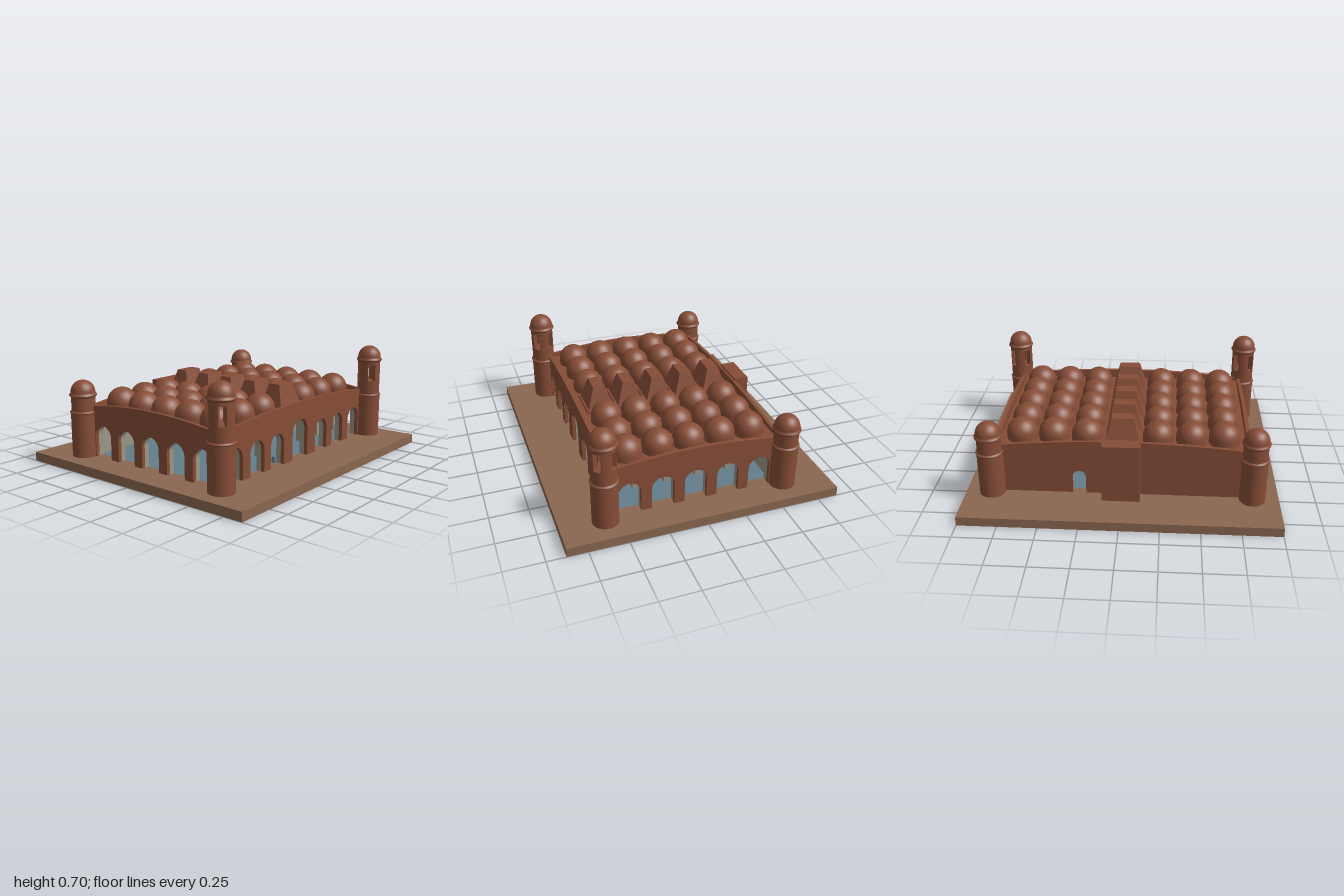
import * as THREE from 'three';

const mat = (name, color, side = THREE.FrontSide) => {
  const m = new THREE.MeshStandardMaterial({ color, side });
  m.name = name;
  return m;
};

export function createModel() {
  const root = new THREE.Group();
  root.name = 'domedHall';
  const brick = mat('brick', 0x864d37);
  const stone = mat('pavingBrown', 0x8a6750);
  const plaster = mat('plaster', 0x9a9587, THREE.DoubleSide);
  const blue = mat('carpetBlue', 0x647d8b);
  const FLOOR = 0.06, ROOF = 0.375;

  const add = (name, geo, material, x = 0, y = 0, z = 0, parent = root) => {
    const m = new THREE.Mesh(geo, material);
    m.name = name;
    m.position.set(x, y, z);
    parent.add(m);
    return m;
  };
  // box given by its limits
  const box = (name, material, x0, x1, y0, y1, z0, z1) =>
    add(name, new THREE.BoxGeometry(x1 - x0, y1 - y0, z1 - z0), material,
      (x0 + x1) / 2, (y0 + y1) / 2, (z0 + z1) / 2);

  // wall standing on the floor with arched openings [centre, width, top], bowed along its top
  const archWall = (half, edgeTop, midTop, arches, depth) => {
    const s = new THREE.Shape();
    s.moveTo(-half, FLOOR);
    for (const [c, w, top] of [...arches].sort((a, b) => a[0] - b[0])) {
      const r = w / 2;
      s.lineTo(c - r, FLOOR);
      s.lineTo(c - r, top - r);
      s.absarc(c, top - r, r, Math.PI, 0, true);
      s.lineTo(c + r, FLOOR);
    }
    s.lineTo(half, FLOOR);
    s.lineTo(half, edgeTop);
    for (let i = 1; i <= 24; i++) {
      const t = 1 - i / 12;
      s.lineTo(half * t, midTop - (midTop - edgeTop) * t * t);
    }
    return new THREE.ExtrudeGeometry(s, { depth, bevelEnabled: false, curveSegments: 16 });
  };

  // paved base around the carpeted floor
  const plaza = new THREE.Shape([[-1, -0.88], [1, -0.88], [1, 0.88], [-1, 0.88]].map(p => new THREE.Vector2(...p)));
  plaza.holes.push(new THREE.Path([[-0.75, -0.51], [-0.75, 0.51], [0.75, 0.51], [0.75, -0.51]].map(p => new THREE.Vector2(...p))));
  add('base', new THREE.ExtrudeGeometry(plaza, { depth: FLOOR, bevelEnabled: false }).rotateX(-Math.PI / 2), stone);
  box('floor', blue, -0.75, 0.75, 0, FLOOR, -0.51, 0.51);

  // front and back walls: brick skin outside, plaster inside
  const frontArches = [[0, 0.17, 0.32]];
  for (const s of [-1, 1]) for (const x of [0.25, 0.458, 0.67]) frontArches.push([s * x, 0.14, 0.275]);
  const door = [0.27, 0.085, 0.22], niche = [0, 0.14, 0.25];
  add('frontWall', archWall(0.81, 0.39, 0.435, frontArches, 0.025), brick, 0, 0, 0.545);
  add('frontWallLining', archWall(0.78, 0.36, 0.36, frontArches, 0.035), plaster, 0, 0, 0.51);
  add('backWall', archWall(0.81, 0.39, 0.435, [door, niche], 0.022), brick, 0, 0, -0.557);
  add('backWallLining', archWall(0.78, 0.36, 0.36, [door, niche], 0.025), plaster, 0, 0, -0.535);

  // side walls
  const sideArches = [-2, -1, 0, 1, 2].map(i => [-0.005 + i * 0.2125, 0.145, 0.275]);
  for (const s of [-1, 1]) {
    const skin = add('sideWall', archWall(0.555, 0.39, 0.435, sideArches, 0.025), brick, s > 0 ? 0.785 : -0.81, 0, 0.0075);
    const lining = add('sideWallLining', archWall(0.53, 0.36, 0.36, sideArches, 0.035), plaster, s > 0 ? 0.75 : -0.785, 0, 0.0075);
    skin.rotation.y = lining.rotation.y = Math.PI / 2;
  }

  // prayer niche and the block that holds it behind the back wall
  add('nicheBlock', archWall(0.12, 0.45, 0.45, [niche], 0.05), brick, 0, 0, -0.6);
  box('nicheBlockBack', brick, -0.12, 0.12, FLOOR, 0.45, -0.645, -0.595);
  const nicheProfile = [new THREE.Vector2(0.069, FLOOR)];
  for (let i = 0; i <= 10; i++) {
    const a = i / 10 * Math.PI / 2;
    nicheProfile.push(new THREE.Vector2(0.069 * Math.cos(a), 0.18 + 0.069 * Math.sin(a)));
  }
  add('niche', new THREE.LatheGeometry(nicheProfile, 20, Math.PI / 2, Math.PI), plaster, 0, 0, -0.512);

  // stepped pulpit beside the niche, and a low rack by the entrance
  for (let i = 0; i < 5; i++)
    box('pulpitStep', brick, 0.005, 0.078, FLOOR, 0.082 + i * 0.023, -0.45 - i * 0.016, -0.432 - i * 0.016);
  box('rack', blue, -0.2, -0.11, FLOOR, 0.1, 0.49, 0.512);

  // interior columns under the ceiling
  for (const x of [-0.565, -0.355, -0.13, 0.13, 0.355, 0.565])
    for (const z of [-0.305, -0.092, 0.12, 0.332])
      box('column', plaster, x - 0.02, x + 0.02, FLOOR, 0.355, z - 0.02, z + 0.02);
  box('ceiling', plaster, -0.78, 0.78, 0.352, 0.36, -0.53, 0.54);
  box('roof', brick, -0.787, 0.787, 0.36, ROOF, -0.54, 0.548);

  // rows of roof domes with a skylight row along the middle
  const domeProfile = [new THREE.Vector2(0.1, ROOF - 0.005)];
  for (let i = 0; i <= 12; i++) {
    const a = i / 12 * Math.PI / 2;
    domeProfile.push(new THREE.Vector2(0.1 * Math.cos(a), 0.41 + 0.1 * Math.sin(a)));
  }
  const domeGeo = new THREE.LatheGeometry(domeProfile, 28);
  const skylightGeo = new THREE.BoxGeometry(0.23, 0.165, 0.18);
  const p = skylightGeo.attributes.position;
  for (let i = 0; i < p.count; i++)
    if (p.getY(i) > 0) p.setXYZ(i, p.getX(i) * 0.61, p.getY(i), p.getZ(i) * 0.44);
  skylightGeo.computeVertexNormals();
  for (let j = -2; j <= 2; j++) {
    const z = 0.005 + j * 0.202;
    for (const s of [-1, 1]) for (const x of [0.228, 0.44, 0.647]) add('roofDome', domeGeo, brick, s * x, 0, z);
    add('skylight', skylightGeo, brick, 0, 0.4575, z);
    box('skylightRim', brick, -0.12, 0.12, ROOF - 0.01, 0.395, z - 0.096, z + 0.096);
  }

  // corner towers
  const lathe = pts => new THREE.LatheGeometry(pts.map(q => new THREE.Vector2(...q)), 32);
  const cap = y => {
    const pts = [[0, y - 0.01], [0.08, y - 0.01], [0.089, y], [0.089, y + 0.006], [0.08, y + 0.014]];
    for (let i = 0; i <= 10; i++) {
      const a = i / 10 * Math.PI / 2;
      pts.push([0.08 * Math.cos(a), y + 0.02 + 0.08 * Math.sin(a)]);
    }
    return lathe(pts);
  };
  const drum = (r, y0, y1) => new THREE.CylinderGeometry(r, r, y1 - y0, 32).translate(0, (y0 + y1) / 2, 0);
  const band = y => lathe([[0.078, y - 0.012], [0.088, y - 0.002], [0.088, y + 0.003], [0.078, y + 0.01]]);
  // curved pier between the openings of the tower lantern
  const pier = new THREE.Shape();
  pier.absarc(0, 0, 0.078, -0.47, 0.47, false);
  pier.absarc(0, 0, 0.045, 0.47, -0.47, true);
  const pierGeo = new THREE.ExtrudeGeometry(pier, { depth: 0.15, bevelEnabled: false, curveSegments: 10 }).rotateX(-Math.PI / 2);

  for (const s of [-1, 1]) {
    const front = new THREE.Group(), back = new THREE.Group();
    front.name = 'frontTower';
    back.name = 'backTower';
    front.position.set(s * 0.83, 0, 0.598);
    back.position.set(s * 0.83, 0, -0.572);
    root.add(front, back);
    add('towerShaft', drum(0.083, FLOOR, 0.355), brick, 0, 0, 0, front);
    add('towerBand', band(0.355), brick, 0, 0, 0, front);
    add('towerNeck', drum(0.078, 0.355, 0.457), brick, 0, 0, 0, front);
    for (let i = 0; i < 4; i++) add('lanternPier', pierGeo, brick, 0, 0.455, 0, front).rotation.y = i * Math.PI / 2;
    add('lanternHead', drum(0.078, 0.575, 0.6), brick, 0, 0, 0, front);
    add('towerDome', cap(0.605), brick, 0, 0, 0, front);
    add('towerShaft', drum(0.083, FLOOR, 0.355), brick, 0, 0, 0, back);
    add('towerBand', band(0.355), brick, 0, 0, 0, back);
    add('towerNeck', drum(0.078, 0.355, 0.46), brick, 0, 0, 0, back);
    add('towerDome', cap(0.464), brick, 0, 0, 0, back);
  }
  return root;
}
